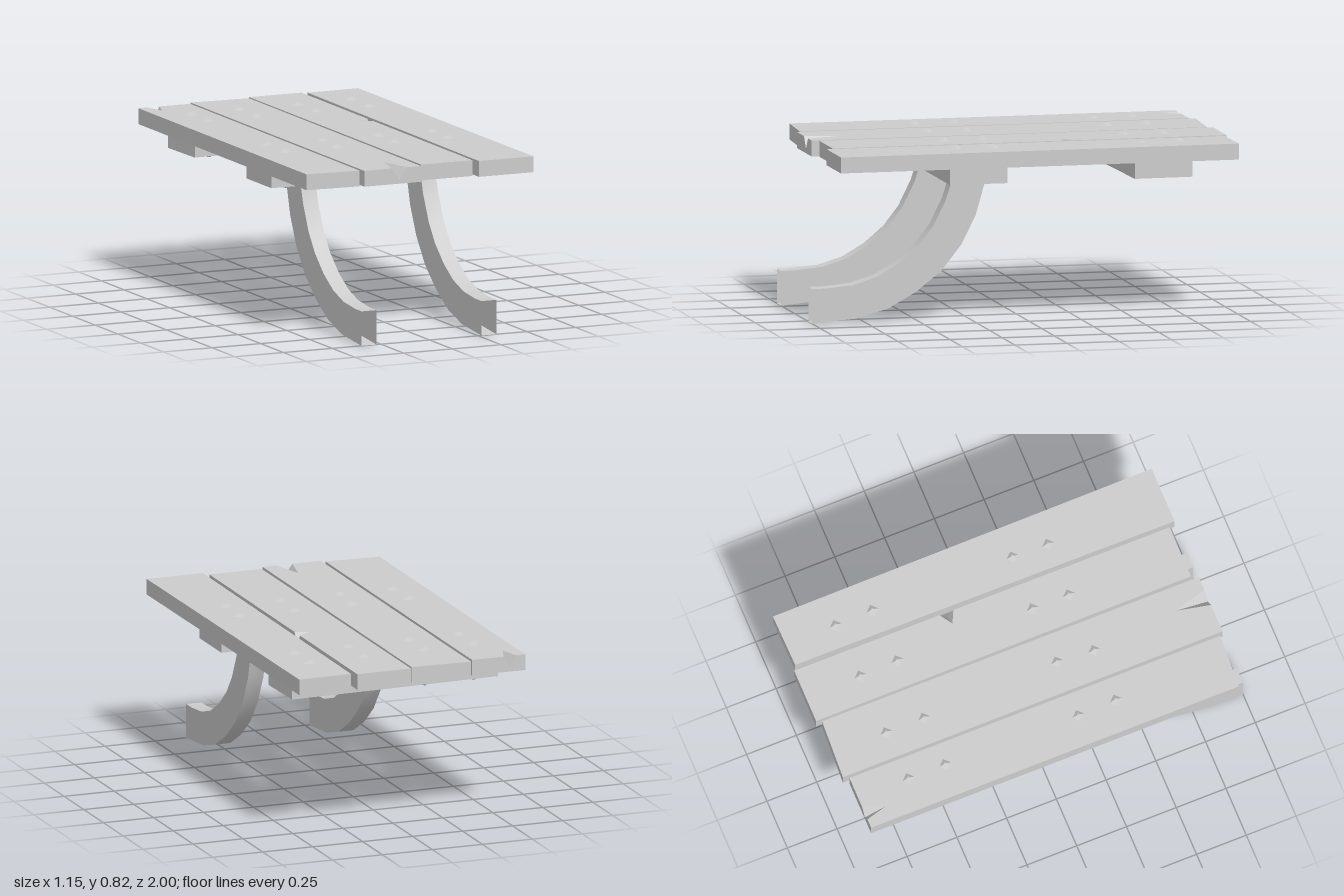
import * as THREE from 'three';

const TOP = 0.81, MID = 0.735, LOW = 0.655, CHIP = 0.755;

// Fan-triangulates each polygon from its first point; every polygon stays flat.
function fanGeometry(polygons) {
  const pos = [];
  for (const p of polygons)
    for (let i = 1; i < p.length - 1; i++) pos.push(...p[0], ...p[i], ...p[i + 1]);
  const g = new THREE.BufferGeometry();
  g.setAttribute('position', new THREE.Float32BufferAttribute(pos, 3));
  g.computeVertexNormals();
  return g;
}

// Board from four [x, z] corners (back-left, front-left, front-right, back-right).
// chip: splintered notch on one edge, from t0 to t1, running inward to tip [x, z].
function plankGeometry(corners, chip) {
  const at = (i, y) => [corners[i % 4][0], y, corners[i % 4][1]];
  const e = chip.edge ?? -1;
  const faces = [[3, 2, 1, 0].map(i => at(i, MID))];
  for (let i = 0; i < 4; i++)
    if (i !== e) faces.push([at(i, TOP), at(i, MID), at(i + 1, MID), at(i + 1, TOP)]);
  if (e < 0) {
    faces.push([0, 1, 2, 3].map(i => at(i, TOP)));
  } else {
    const along = (t, y) => at(e, y).map((v, k) => v + (at(e + 1, y)[k] - v) * t);
    const a = along(chip.t0, TOP), b = along(chip.t1, TOP);
    const d = along((chip.t0 + chip.t1) / 2, CHIP);
    const c = [chip.tip[0], TOP, chip.tip[1]];
    faces.push(
      [c, b, at(e + 1, TOP), at(e + 2, TOP), at(e + 3, TOP), at(e, TOP), a],
      [d, a, at(e, TOP), at(e, MID), at(e + 1, MID), at(e + 1, TOP), b],
      [a, d, c], [d, b, c]);
  }
  return fanGeometry(faces);
}

// Curved rectangular tube, open at both ends, smooth along its length.
function legGeometry(width) {
  const upper = [[1, 0.163], [0.935, 0.163], [0.805, 0.175], [0.69, 0.21], [0.585, 0.27],
    [0.49, 0.35], [0.42, 0.44], [0.36, 0.56], [0.325, 0.67], [0.31, 0.77]];
  const lower = [[1, 0], [0.93, 0.006], [0.785, 0.018], [0.635, 0.06], [0.5, 0.135],
    [0.38, 0.23], [0.285, 0.35], [0.217, 0.485], [0.167, 0.66], [0.15, 0.77]];
  const w = width / 2, pos = [], index = [];
  const rails = [[-w, upper], [w, upper], [w, lower], [-w, lower]];
  rails.forEach((rail, k) => {
    const next = rails[(k + 1) % 4];
    for (let s = 0; s < upper.length; s++) {
      const n = pos.length / 3;
      for (const [x, line] of [rail, next]) pos.push(x, line[s][1], line[s][0]);
      if (s < upper.length - 1) index.push(n, n + 1, n + 3, n, n + 3, n + 2);
    }
  });
  const g = new THREE.BufferGeometry();
  g.setAttribute('position', new THREE.Float32BufferAttribute(pos, 3));
  g.setIndex(index);
  g.computeVertexNormals();
  return g;
}

export function createModel() {
  const group = new THREE.Group();
  const grey = new THREE.MeshStandardMaterial({ color: 0xcccccc, side: THREE.DoubleSide });
  grey.name = 'plainGrey';

  const add = (name, geometry, x = 0, y = 0, z = 0) => {
    const mesh = new THREE.Mesh(geometry, grey);
    mesh.name = name;
    mesh.position.set(x, y, z);
    group.add(mesh);
    return mesh;
  };

  // Four uneven deck boards
  const planks = [
    [[[-0.578, -0.963], [-0.578, 0.885], [-0.313, 0.9], [-0.312, -0.963]],
      { edge: 3, t0: 0.59, t1: 0.83, tip: [-0.505, -0.86] }],
    [[[-0.297, -0.99], [-0.297, 0.918], [-0.006, 0.918], [-0.004, -0.975]],
      { edge: 1, t0: 0.486, t1: 0.76, tip: [-0.12, 0.755] }],
    [[[0.008, -1], [0.011, 0.885], [0.273, 0.885], [0.277, -1]],
      { edge: 2, t0: 0.576, t1: 0.613, tip: [0.215, -0.23] }],
    [[[0.302, -0.985], [0.292, 0.918], [0.573, 0.918], [0.563, -0.99]], {}],
  ];
  planks.forEach(([corners, chip], i) => add(`plank${i + 1}`, plankGeometry(corners, chip)));

  // Cross beams beneath the boards; the rear one sits slightly askew
  const beam = new THREE.BoxGeometry(1.042, MID - LOW, 0.277);
  const beamY = (MID + LOW) / 2;
  add('frontBeam', beam, -0.002, beamY, 0.245);
  add('rearBeam', beam, -0.002, beamY, -0.624).rotation.y = 0.03;

  // Curved legs
  const leg = legGeometry(0.077);
  add('rightLeg', leg, -0.311);
  add('leftLeg', leg, 0.305);

  // Four-sided bolt heads, above and below
  const head = new THREE.LatheGeometry(
    [[0.03, -0.002], [0.03, 0], [0.009, 0.013], [0, 0.015]].map(p => new THREE.Vector2(...p)), 4)
    .toNonIndexed();
  head.computeVertexNormals();
  const bolts = [
    [-0.42, -0.71], [-0.42, -0.525], [-0.17, -0.72], [-0.17, -0.53],
    [0.135, -0.725], [0.14, -0.537], [0.41, -0.737], [0.415, -0.55],
    [-0.43, 0.14], [-0.425, 0.33], [-0.147, 0.148], [-0.16, 0.33],
    [0.14, 0.143], [0.14, 0.325], [0.413, 0.153], [0.408, 0.33],
  ];
  for (const [x, z] of bolts) {
    add('upperBolt', head, x, TOP, z);
    add('lowerBolt', head, x, LOW, z).rotation.x = Math.PI;
  }

  return group;
}
